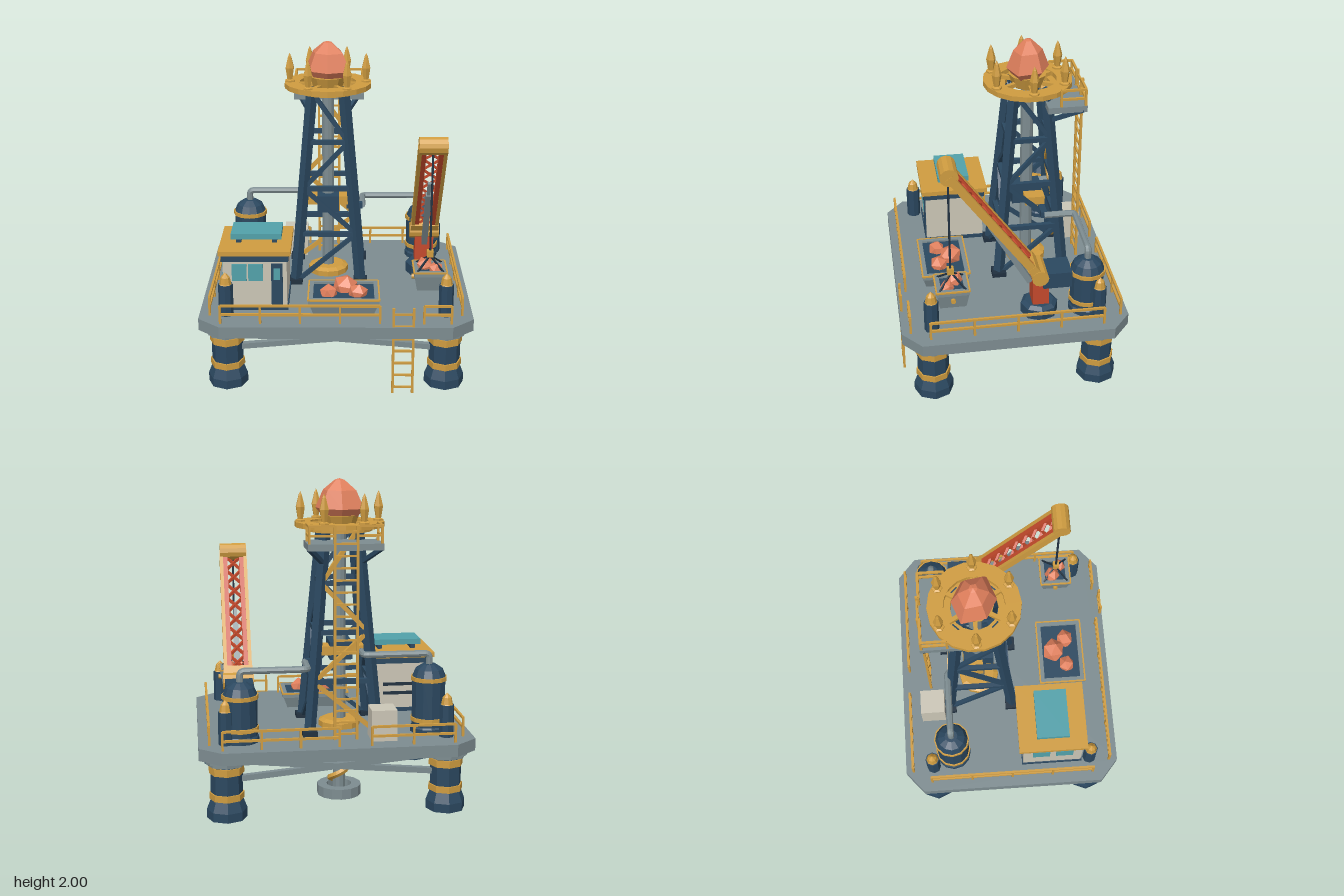
import * as THREE from 'three';

const mat = (color) => new THREE.MeshStandardMaterial({ color, flatShading: true, side: THREE.DoubleSide });
const GREY = mat(0x7d8c90), GOLD = mat(0xcf9c40), BLUE = mat(0x2b4860), DARK = mat(0x20303f);
const RED = mat(0xc4492c), ROCK = mat(0xe07f5c), CREAM = mat(0xcbc6b6), TEAL = mat(0x52a1aa);
const V = (x, y, z) => new THREE.Vector3(x, y, z);

export function createModel() {
  const root = new THREE.Group();
  let part = root;
  const begin = (name) => { part = new THREE.Group(); part.name = name; root.add(part); };
  const add = (name, geo, m, x = 0, y = 0, z = 0) => {
    const mesh = new THREE.Mesh(geo, m);
    mesh.name = name;
    mesh.position.set(x, y, z);
    part.add(mesh);
    return mesh;
  };
  // Box given by its limits on each axis
  const box = (name, m, x0, x1, y0, y1, z0, z1) =>
    add(name, new THREE.BoxGeometry(x1 - x0, y1 - y0, z1 - z0), m, (x0 + x1) / 2, (y0 + y1) / 2, (z0 + z1) / 2);
  // Square bar between two points
  const beam = (name, m, a, b, w, h = w) => {
    const mid = a.clone().lerp(b, 0.5);
    const mesh = add(name, new THREE.BoxGeometry(w, h, a.distanceTo(b)), m, mid.x, mid.y, mid.z);
    mesh.lookAt(b);
    return mesh;
  };
  const lathe = (name, m, pts, x, z, n = 8) =>
    add(name, new THREE.LatheGeometry(pts.map((p) => new THREE.Vector2(...p)), n), m, x, 0, z);
  const rock = (x, y, z, r, turn) => {
    const k = add('rock', new THREE.IcosahedronGeometry(r, 0), ROCK, x, y, z);
    k.rotation.set(turn, turn * 2, 0.3);
    k.scale.y = 0.9;
  };
  // Four-sided open bin with sloping walls and a floor
  const bin = (name, m, x, z, y0, y1, w, d, taper) => {
    const outer = new THREE.BoxGeometry(w, y1 - y0, d);
    const p = outer.attributes.position;
    for (let i = 0; i < p.count; i++) if (p.getY(i) < 0) p.setXYZ(i, p.getX(i) * taper, p.getY(i), p.getZ(i) * taper);
    add(name, outer, m, x, (y0 + y1) / 2, z);
    box(name + 'Load', BLUE, x - w / 2 + 0.03, x + w / 2 - 0.03, y1 - 0.01, y1 + 0.003, z - d / 2 + 0.03, z + d / 2 - 0.03);
    for (const s of [-1, 1]) {
      beam('rim', GREY, V(x - w / 2, y1, z + s * (d / 2 - 0.015)), V(x + w / 2, y1, z + s * (d / 2 - 0.015)), 0.03);
      beam('rim', GREY, V(x + s * (w / 2 - 0.015), y1, z - d / 2), V(x + s * (w / 2 - 0.015), y1, z + d / 2), 0.03);
      beam('rimTrim', GOLD, V(x - w / 2, y1 + 0.012, z + s * d / 2), V(x + w / 2, y1 + 0.012, z + s * d / 2), 0.01);
      beam('rimTrim', GOLD, V(x + s * w / 2, y1 + 0.012, z - d / 2), V(x + s * w / 2, y1 + 0.012, z + d / 2), 0.01);
    }
  };
  const ladder = (x0, x1, y0, y1, z, count) => {
    for (const x of [x0, x1]) beam('ladderRail', GOLD, V(x, y0, z), V(x, y1, z), 0.015);
    for (let i = 0; i < count; i++) {
      const y = y0 + ((i + 0.5) * (y1 - y0)) / count;
      beam('rung', GOLD, V(x0, y, z), V(x1, y, z), 0.012);
    }
  };
  // Railing with two bars and evenly spaced posts
  const railing = (a, b, h = 0.115) => {
    const n = Math.max(1, Math.round(a.distanceTo(b) / 0.25));
    for (const k of [h, h * 0.5]) beam('railBar', GOLD, a.clone().setY(a.y + k), b.clone().setY(b.y + k), 0.014);
    for (let i = 0; i <= n; i++) {
      const p = a.clone().lerp(b, i / n);
      beam('railPost', GOLD, p, p.clone().setY(p.y + h), 0.014);
    }
  };

  // Deck with chamfered corners
  begin('deck');
  const s = new THREE.Shape([[-0.835, -0.585], [-0.7, -0.7], [0.7, -0.7], [0.835, -0.585], [0.835, 0.585], [0.7, 0.7],
    [-0.7, 0.7], [-0.835, 0.585]].map((p) => new THREE.Vector2(...p)));
  add('deckSlab', new THREE.ExtrudeGeometry(s, { depth: 0.075, bevelEnabled: false }), GREY, 0, 0.455, 0).rotation.x = Math.PI / 2;
  const D = 0.455;

  // Legs with bands, collars and corner bollards
  begin('legs');
  for (const x of [-0.67, 0.67]) for (const z of [-0.515, 0.515]) {
    lathe('leg', BLUE, [[0, 0], [0.122, 0], [0.122, 0.055], [0.097, 0.12], [0.097, 0.35], [0, 0.35]], x, z);
    for (const [y0, y1] of [[0.12, 0.16], [0.28, 0.325]])
      lathe('legBand', GOLD, [[0.09, y0], [0.106, y0], [0.106, y1], [0.09, y1]], x, z);
    lathe('legCollar', GREY, [[0.09, 0.335], [0.12, 0.335], [0.12, 0.358], [0.142, 0.358], [0.142, 0.385]], x, z);
    lathe('bollard', BLUE, [[0, D], [0.045, D], [0.045, 0.655], [0, 0.655]], x, z);
    lathe('bollardTip', GOLD, [[0.045, 0.645], [0.036, 0.66], [0.028, 0.7], [0, 0.73]], x, z);
  }
  for (const z of [-0.515, 0.515]) for (const k of [-1, 1])
    beam('crossBrace', GREY, V(-0.6, 0.295 - k * 0.055, z), V(0.6, 0.295 + k * 0.055, z), 0.035);

  begin('railings');
  railing(V(-0.695, D, 0.645), V(0.265, D, 0.645));
  railing(V(0.53, D, 0.645), V(0.695, D, 0.645));
  railing(V(-0.695, D, -0.65), V(-0.19, D, -0.65));
  railing(V(0.005, D, -0.65), V(0.695, D, -0.65));
  for (const x of [-0.77, 0.77]) railing(V(x, D, -0.53), V(x, D, 0.53));
  ladder(0.345, 0.465, 0.01, 0.575, 0.685, 7);

  // Drill pipe, foot ring, auger and rotary table
  const CX = -0.055, CZ = -0.18;
  begin('drill');
  lathe('drillPipe', GREY, [[0, 0.01], [0.04, 0.01], [0.04, 1.78], [0, 1.78]], CX, CZ, 10);
  lathe('drillFoot', GREY, [[0.08, 0], [0.14, 0], [0.14, 0.065], [0.08, 0.065], [0.08, 0]], CX, CZ, 14);
  lathe('rotaryTable', GOLD, [[0, D], [0.13, D], [0.13, 0.49], [0.1, 0.505], [0, 0.505]], CX, CZ, 12);
  class Helix extends THREE.Curve {
    getPoint(t, o = V(0, 0, 0)) {
      const a = t * Math.PI * 3.6;
      return o.set(Math.sin(a) * 0.057, 0.06 + t * 0.33, Math.cos(a) * 0.057);
    }
  }
  add('auger', new THREE.TubeGeometry(new Helix(), 40, 0.02, 5), GOLD, CX, 0, CZ);
  box('gearbox', BLUE, CX - 0.07, CX + 0.07, 0.895, 1.005, -0.27, -0.08);
  box('gearCollar', GOLD, -0.2, 0.1, 0.925, 0.98, -0.275, -0.15);

  // Tapered lattice tower
  begin('derrick');
  const half = (y) => 0.21 - ((y - D) / (1.7 - D)) * 0.11;
  const corner = (i, y) => V(CX + [-1, 1, 1, -1][i % 4] * half(y), y, CZ + [1, 1, -1, -1][i % 4] * half(y));
  const levels = [D, 0.78, 1.08, 1.38, 1.7];
  for (let i = 0; i < 4; i++) {
    beam('derrickLeg', BLUE, corner(i, D), corner(i, 1.71), 0.05);
    const f = corner(i, D);
    box('derrickFoot', DARK, f.x - 0.045, f.x + 0.045, D, D + 0.03, f.z - 0.045, f.z + 0.045);
    for (let k = 0; k < 4; k++) {
      const flip = (k + (i === 2 ? 1 : 0)) % 2;
      const m = i === 2 ? GOLD : BLUE;
      if (k > 0) beam('girt', BLUE, corner(i, levels[k]), corner(i + 1, levels[k]), 0.03);
      beam('diagonal', m, corner(i + flip, levels[k]), corner(i + 1 - flip, levels[k + 1]), 0.026);
    }
  }

  // Crown ring, spokes, spikes and crystal
  begin('crown');
  const ring = (name, r0, r1, y0, y1) => lathe(name, GOLD, [[r0, y0], [r1, y0], [r1, y1], [r0, y1], [r0, y0]], CX, CZ, 18);
  ring('crownRing', 0.18, 0.275, 1.71, 1.742);
  ring('lowerRing', 0.14, 0.2, 1.685, 1.712);
  lathe('crystalCup', GOLD, [[0, 1.7], [0.09, 1.7], [0.12, 1.78], [0, 1.78]], CX, CZ, 10);
  for (let i = 0; i < 6; i++) {
    const a = (i * Math.PI) / 3, c = Math.cos(a), n = Math.sin(a);
    beam('spoke', GOLD, V(CX + c * 0.05, 1.725, CZ + n * 0.05), V(CX + c * 0.2, 1.725, CZ + n * 0.2), 0.025);
    lathe('spike', GOLD, [[0, 1.73], [0.032, 1.735], [0.032, 1.752], [0.018, 1.758], [0.03, 1.83], [0.012, 1.9], [0, 1.925]], CX + c * 0.24, CZ + n * 0.24, 6);
  }
  const crystal = lathe('crystal', ROCK, [[0, 1.765], [0.11, 1.77], [0.155, 1.82], [0.105, 1.93], [0.03, 1.992], [0, 2]], CX, CZ, 6);
  const cp = crystal.geometry.attributes.position;
  for (let i = 0; i < cp.count; i++) {
    const a = Math.atan2(cp.getZ(i), cp.getX(i)), k = 0.92 + 0.12 * Math.sin(a * 2 + 0.6);
    cp.setXYZ(i, cp.getX(i) * k, cp.getY(i), cp.getZ(i) * k);
  }

  // Service balcony behind the tower top, with its long ladder
  begin('balcony');
  box('balconyFloor', GREY, -0.275, 0.175, 1.6, 1.64, -0.51, -0.27);
  for (const x of [-0.265, 0.165]) {
    railing(V(x, 1.63, -0.5), V(x, 1.63, -0.35));
    beam('strut', BLUE, V(x, 1.61, -0.49), V(x < 0 ? -0.17 : 0.06, 1.5, -0.3), 0.025);
  }
  railing(V(-0.265, 1.63, -0.5), V(-0.12, 1.63, -0.5));
  railing(V(0.015, 1.63, -0.5), V(0.165, 1.63, -0.5));
  ladder(-0.12, 0.015, D, 1.75, -0.51, 18);

  // Control cabin
  begin('cabin');
  box('cabinWalls', CREAM, -0.69, -0.3, D, 0.79, 0.075, 0.455);
  box('cabinPlinth', BLUE, -0.697, -0.293, D, 0.48, 0.068, 0.462);
  box('cabinTrim', BLUE, -0.7, -0.29, 0.78, 0.82, 0.062, 0.467);
  box('cabinRoof', GOLD, -0.715, -0.275, 0.82, 0.85, 0.045, 0.48);
  box('roofPanel', TEAL, -0.645, -0.335, 0.885, 0.92, 0.16, 0.365);
  for (const x of [-0.6, -0.38]) box('panelSupport', BLUE, x - 0.015, x + 0.015, 0.85, 0.885, 0.2, 0.33);
  for (const x of [-0.59, -0.49]) box('frontWindow', TEAL, x - 0.045, x + 0.045, 0.65, 0.76, 0.45, 0.463);
  box('door', BLUE, -0.395, -0.325, 0.48, 0.765, 0.45, 0.465);
  box('doorWindow', TEAL, -0.38, -0.34, 0.66, 0.735, 0.46, 0.469);
  for (const z of [0.19, 0.34]) box('sideWindow', TEAL, -0.699, -0.68, 0.64, 0.75, z - 0.055, z + 0.055);
  for (const y of [0.57, 0.63]) box('vent', DARK, -0.62, -0.38, y, y + 0.02, 0.067, 0.08);

  // Ore tray and supply crate on the deck
  begin('oreTray');
  bin('tray', GREY, 0.047, 0.38, D, 0.54, 0.435, 0.3, 0.86);
  rock(0.055, 0.56, 0.335, 0.082, 0.4);
  rock(-0.045, 0.55, 0.415, 0.06, 1.1);
  rock(0.135, 0.55, 0.415, 0.066, 2);
  begin('supplyCrate');
  box('crate', CREAM, -0.355, -0.2, D, 0.645, -0.575, -0.42);

  // Storage tanks with pipes into the tower
  begin('tanks');
  for (const [x, z, top, pipeY, endX] of [[-0.585, -0.38, 0.88, 0.945, -0.18], [0.58, -0.455, 0.82, 0.885, 0.17]]) {
    lathe('tank', BLUE, [[0, D], [0.112, D], [0.112, D + 0.03], [0.104, D + 0.04], [0.104, top - 0.075], [0.085, top - 0.03], [0.04, top], [0, top]], x, z, 12);
    for (const y of [D + 0.07, top - 0.1]) lathe('tankBand', GOLD, [[0.1, y], [0.112, y], [0.112, y + 0.025], [0.1, y + 0.025]], x, z, 12);
    const path = new THREE.CurvePath();
    const e = Math.sign(endX - x) * 0.03;
    const pts = [V(x, top - 0.02, z), V(x, pipeY - 0.03, z), V(x, pipeY, z), V(x + e, pipeY, z), V(endX - e, pipeY, z), V(endX, pipeY, z), V(endX, pipeY, z + 0.03), V(endX, pipeY, -0.26)];
    path.add(new THREE.LineCurve3(pts[0], pts[1]));
    path.add(new THREE.QuadraticBezierCurve3(pts[1], pts[2], pts[3]));
    path.add(new THREE.LineCurve3(pts[3], pts[4]));
    path.add(new THREE.QuadraticBezierCurve3(pts[4], pts[5], pts[6]));
    path.add(new THREE.LineCurve3(pts[6], pts[7]));
    add('pipe', new THREE.TubeGeometry(path, 60, 0.021, 8), GREY);
    beam('pipeLink', BLUE, pts[7], V(CX + Math.sign(endX) * 0.12, pipeY, -0.26), 0.04);
  }

  // Crane
  begin('crane');
  const X = 0.575, foot = V(X, 0.75, -0.15), tip = V(X, 1.49, 0.385);
  lathe('pedestal', BLUE, [[0, D], [0.115, D], [0.115, 0.52], [0.09, 0.54], [0, 0.54]], X, -0.16);
  box('column', RED, X - 0.06, X + 0.06, 0.53, 0.74, -0.21, -0.11);
  box('counterweight', BLUE, X - 0.085, X + 0.085, 0.67, 0.775, -0.345, -0.17);
  const drum = (name, m, r, w, p) => { add(name, new THREE.CylinderGeometry(r, r, w, 12), m, p.x, p.y, p.z).rotation.z = Math.PI / 2; };
  drum('pivot', GOLD, 0.052, 0.19, foot);
  drum('head', GOLD, 0.055, 0.17, tip);
  const on = (t, dx) => foot.clone().lerp(tip, t).setX(X + dx);
  for (const k of [-1, 1]) {
    beam('boomRail', GOLD, on(0, k * 0.077), on(1, k * 0.077), 0.022, 0.05);
    beam('boomChord', RED, on(0, k * 0.052), on(0.97, k * 0.052), 0.028, 0.04);
    for (let i = 0; i < 8; i++) beam('lattice', RED, on(0.08 + i * 0.11, k * 0.05), on(0.19 + i * 0.11, -k * 0.05), 0.016);
  }
  beam('boomFootPlate', GOLD, on(0, 0), on(0.1, 0), 0.18, 0.06);
  beam('ram', GREY, V(X, 0.68, -0.1), V(X, 1.1, 0.14), 0.036);
  beam('ramRod', GREY, V(X, 1.08, 0.13), V(X, 1.19, 0.185), 0.022);

  // Hoist cable and ore bucket
  begin('hoist');
  beam('cable', DARK, V(X, 1.45, 0.385), V(X, 0.8, 0.385), 0.012);
  box('hook', GOLD, X - 0.02, X + 0.02, 0.785, 0.825, 0.365, 0.405);
  for (const a of [-1, 1]) for (const b of [-1, 1])
    beam('sling', DARK, V(X, 0.79, 0.38), V(X + a * 0.085, 0.705, 0.38 + b * 0.085), 0.01);
  bin('bucket', GREY, X, 0.38, 0.59, 0.7, 0.2, 0.2, 0.8);
  for (const k of [-1, 1]) drum('lug', GOLD, 0.015, 0.02, V(X + k * 0.1, 0.65, 0.38));
  rock(X - 0.03, 0.715, 0.36, 0.055, 0.7);
  rock(X + 0.035, 0.71, 0.41, 0.048, 1.6);

  return root;
}
